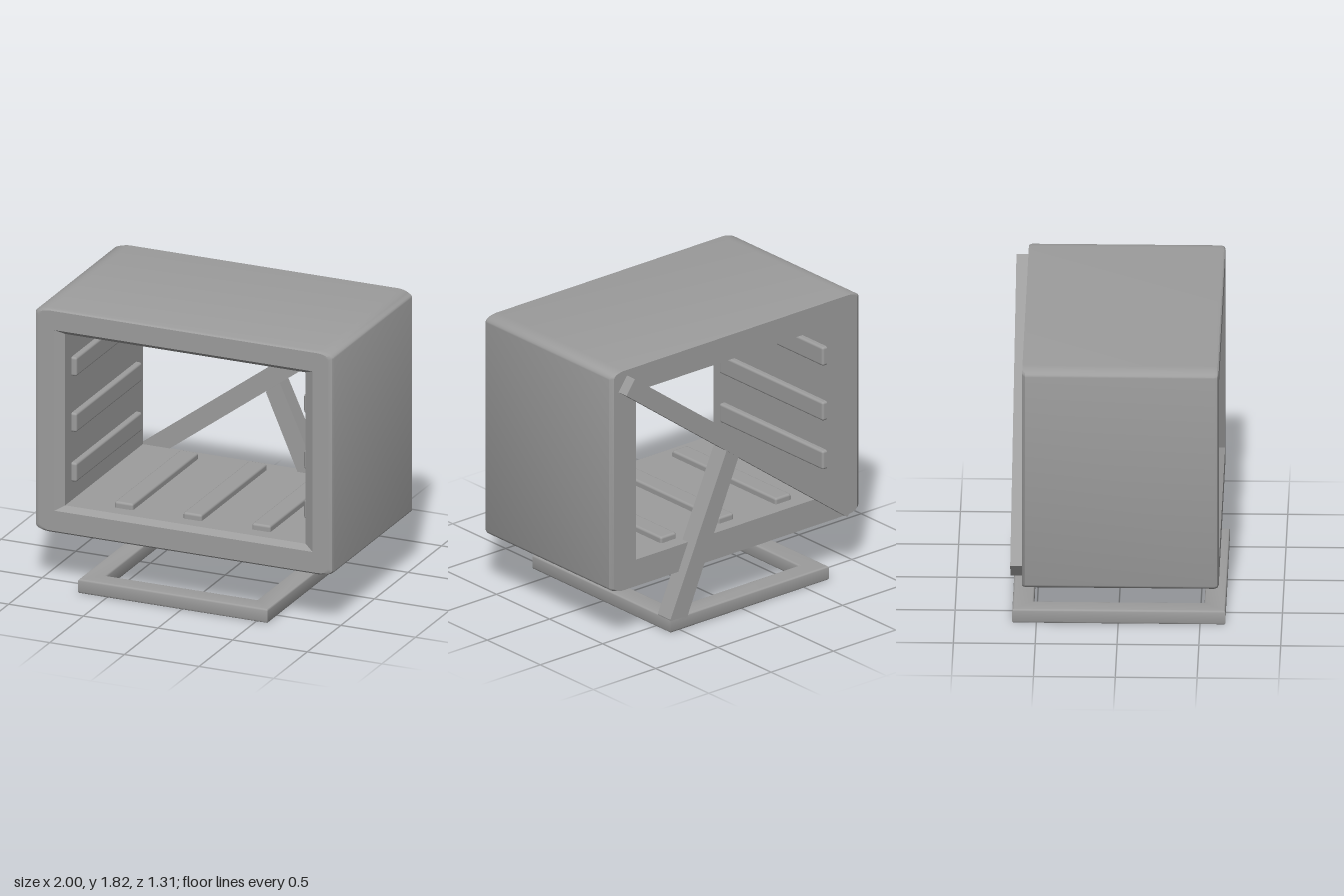
import * as THREE from 'three';
import { toCreasedNormals } from 'three/addons/utils/BufferGeometryUtils.js';
import { RoundedBoxGeometry } from 'three/addons/geometries/RoundedBoxGeometry.js';

const material = new THREE.MeshStandardMaterial({ color: 0x9d9d9d });

function addMesh(parent, name, geometry, x = 0, y = 0, z = 0) {
  const mesh = new THREE.Mesh(geometry, material);
  mesh.name = name;
  mesh.position.set(x, y, z);
  parent.add(mesh);
  return mesh;
}

// Rounded rectangle loop, counter-clockwise seen from the front
function rectLoop(z, x0, x1, y0, y1, rx, ry) {
  const steps = 8, loop = [];
  const corners = [[x1 - rx, y1 - ry], [x0 + rx, y1 - ry], [x0 + rx, y0 + ry], [x1 - rx, y0 + ry]];
  corners.forEach(([cx, cy], q) => {
    for (let i = 0; i <= steps; i++) {
      const a = (q + i / steps) * Math.PI / 2;
      loop.push([cx + rx * Math.cos(a), cy + ry * Math.sin(a), z]);
    }
  });
  return loop;
}

// Closed tunnel shell: sections run along the outside, round the front lip and back inside
function shellGeometry() {
  const sections = [
    rectLoop(-0.58, -0.975, 0.975, 0.354, 1.813, 0.08, 0.035),
    rectLoop(-0.562, -1, 1, 0.352, 1.815, 0.1, 0.04),
    rectLoop(0.595, -1, 1, 0.352, 1.815, 0.1, 0.04),
    rectLoop(0.612, -0.992, 0.992, 0.357, 1.811, 0.095, 0.038),
    rectLoop(0.62, -0.975, 0.975, 0.367, 1.803, 0.085, 0.035),
    rectLoop(0.62, -0.965, 0.965, 0.375, 1.796, 0.08, 0.035),
    rectLoop(0.62, -0.865, 0.865, 0.5, 1.68, 0, 0),
    rectLoop(0.58, -0.81, 0.8, 0.53, 1.65, 0, 0),
    rectLoop(-0.58, -0.81, 0.8, 0.53, 1.65, 0, 0),
  ];
  const n = sections[0].length, index = [];
  for (let s = 0; s < sections.length; s++) {
    const t = (s + 1) % sections.length;
    for (let i = 0; i < n; i++) {
      const j = (i + 1) % n;
      index.push(s * n + i, s * n + j, t * n + j, s * n + i, t * n + j, t * n + i);
    }
  }
  const geometry = new THREE.BufferGeometry();
  geometry.setAttribute('position', new THREE.Float32BufferAttribute(sections.flat(2), 3));
  geometry.setIndex(index);
  return toCreasedNormals(geometry, 0.55);
}

function polygon(points) {
  return new THREE.Shape(points.map(([x, y]) => new THREE.Vector2(x, y)));
}

export function createModel() {
  const group = new THREE.Group();

  addMesh(group, 'shell', shellGeometry());

  // Raised ribs on the four inner walls
  const ribs = new THREE.Group();
  ribs.name = 'innerRibs';
  group.add(ribs);
  const length = 0.98;
  for (const x of [-0.46, 0, 0.46]) {
    const rib = new RoundedBoxGeometry(0.125, 0.08, length, 2, 0.015);
    addMesh(ribs, 'floorRib', rib, x, 0.53, 0);
    addMesh(ribs, 'ceilingRib', rib, x, 1.655, 0);
  }
  for (const y of [0.715, 1.04, 1.405]) {
    const rib = new RoundedBoxGeometry(0.08, 0.125, length, 2, 0.015);
    addMesh(ribs, 'rightWallRib', rib, -0.815, y, 0);
    addMesh(ribs, 'leftWallRib', rib, 0.785, y, 0);
  }

  // Diagonal bar across the back
  const low = new THREE.Vector2(-0.866, 0.4275), high = new THREE.Vector2(0.906, 1.73);
  const bar = new THREE.BoxGeometry(low.distanceTo(high), 0.115, 0.08);
  const mid = low.clone().add(high).multiplyScalar(0.5);
  addMesh(group, 'diagonalBar', bar, mid.x, mid.y, -0.615)
    .rotation.z = Math.atan2(high.y - low.y, high.x - low.x);

  // Slanted leg from the diagonal bar down to the corner of the base
  const leg = new THREE.ExtrudeGeometry(
    polygon([[0.035, 1.02], [0.44, 0.085], [0.45, 0.02], [0.575, 0.02], [0.58, 0.09], [0.13, 1.09]]),
    { depth: 0.12, bevelEnabled: false });
  addMesh(group, 'leg', leg, 0, 0, -0.647);

  // Rectangular floor frame, with softened edges
  const b = 0.012, w = 0.13;
  const frame = (x0, x1, z0, z1) => [[x0, z0], [x1, z0], [x1, z1], [x0, z1]];
  const base = polygon(frame(-0.69 + b, 0.58 - b, -0.655 + b, 0.647 - b));
  base.holes.push(polygon(frame(-0.69 + w - b, 0.58 - w + b, -0.655 + w - b, 0.647 - w + b).reverse()));
  const baseGeometry = new THREE.ExtrudeGeometry(base,
    { depth: 0.092 - 2 * b, bevelSize: b, bevelThickness: b, bevelSegments: 3 });
  baseGeometry.rotateX(-Math.PI / 2);
  addMesh(group, 'baseFrame', toCreasedNormals(baseGeometry, 0.7), 0, b, 0);

  return group;
}
